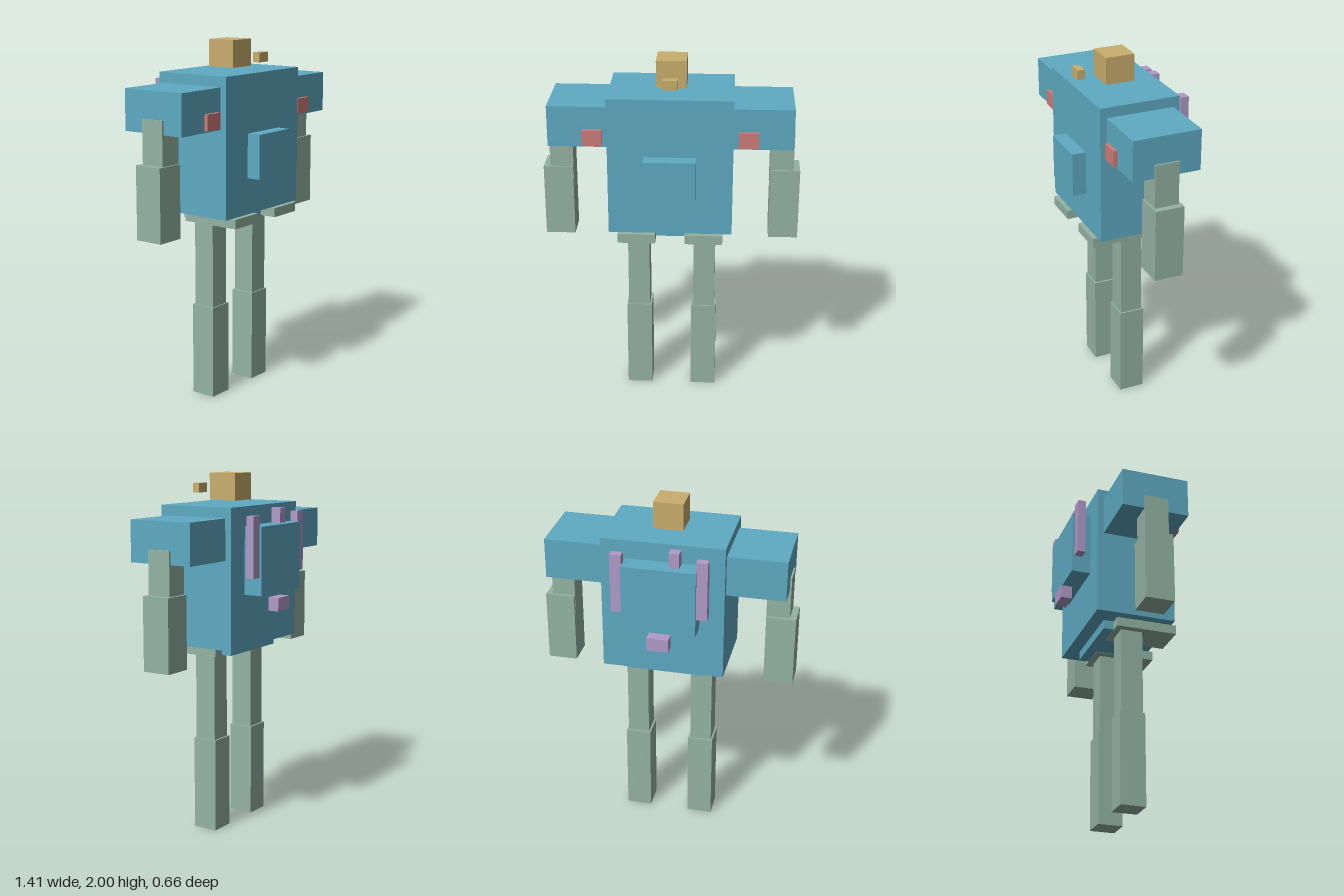
import * as THREE from 'three';

const paint = (name, color) => {
  const m = new THREE.MeshStandardMaterial({ color });
  m.name = name;
  return m;
};

export function createModel() {
  const blue = paint('blue', 0x5eaac2);
  const green = paint('sage green', 0x94b3a3);
  const tan = paint('tan', 0xc9ad6c);
  const red = paint('red', 0xcd7c79);
  const purple = paint('purple', 0xb09ac8);

  const model = new THREE.Group();
  model.name = 'robot';

  // Box given by its extents on each axis
  const box = (name, material, [x0, x1], [y0, y1], [z0, z1]) => {
    const mesh = new THREE.Mesh(new THREE.BoxGeometry(x1 - x0, y1 - y0, z1 - z0), material);
    mesh.position.set((x0 + x1) / 2, (y0 + y1) / 2, (z0 + z1) / 2);
    mesh.name = name;
    model.add(mesh);
  };
  // The same box on the left (+x) and right (-x)
  const pair = (name, material, [x0, x1], y, z) => {
    box(name + 'Left', material, [x0, x1], y, z);
    box(name + 'Right', material, [-x1, -x0], y, z);
  };

  // Body and head
  box('torso', blue, [-0.338, 0.338], [1.063, 1.832], [-0.203, 0.25]);
  box('chestBox', blue, [-0.142, 0.14], [1.265, 1.51], [0.25, 0.328]);
  box('pelvis', blue, [-0.225, 0.225], [1.012, 1.063], [-0.128, 0.18]);
  box('head', tan, [-0.082, 0.082], [1.85, 2], [-0.06, 0.106]);
  box('visor', tan, [-0.04, 0.04], [1.885, 1.938], [0.208, 0.25]);

  // Arms
  pair('shoulder', blue, [0.338, 0.66], [1.55, 1.775], [-0.167, 0.214]);
  pair('shoulderLight', red, [0.365, 0.474], [1.56, 1.648], [0.214, 0.234]);
  pair('upperArm', green, [0.541, 0.67], [1.27, 1.625], [-0.042, 0.093]);
  pair('forearm', green, [0.543, 0.706], [0.983, 1.385], [-0.058, 0.104]);

  // Hips and legs
  pair('hipPlate', green, [0.081, 0.288], [1.01, 1.062], [-0.07, 0.276]);
  pair('thigh', green, [0.125, 0.247], [0.5, 1.02], [-0.034, 0.09]);
  pair('shin', green, [0.114, 0.257], [0, 0.525], [-0.045, 0.098]);

  // Backpack with side boosters, antenna block and nozzles
  box('backpack', blue, [-0.203, 0.203], [1.355, 1.728], [-0.31, -0.203]);
  pair('booster', purple, [0.2, 0.263], [1.453, 1.786], [-0.296, -0.251]);
  box('antennaBlock', purple, [-0.106, -0.049], [1.73, 1.813], [-0.273, -0.217]);
  pair('nozzle', purple, [0, 0.06], [1.255, 1.33], [-0.33, -0.266]);

  return model;
}
